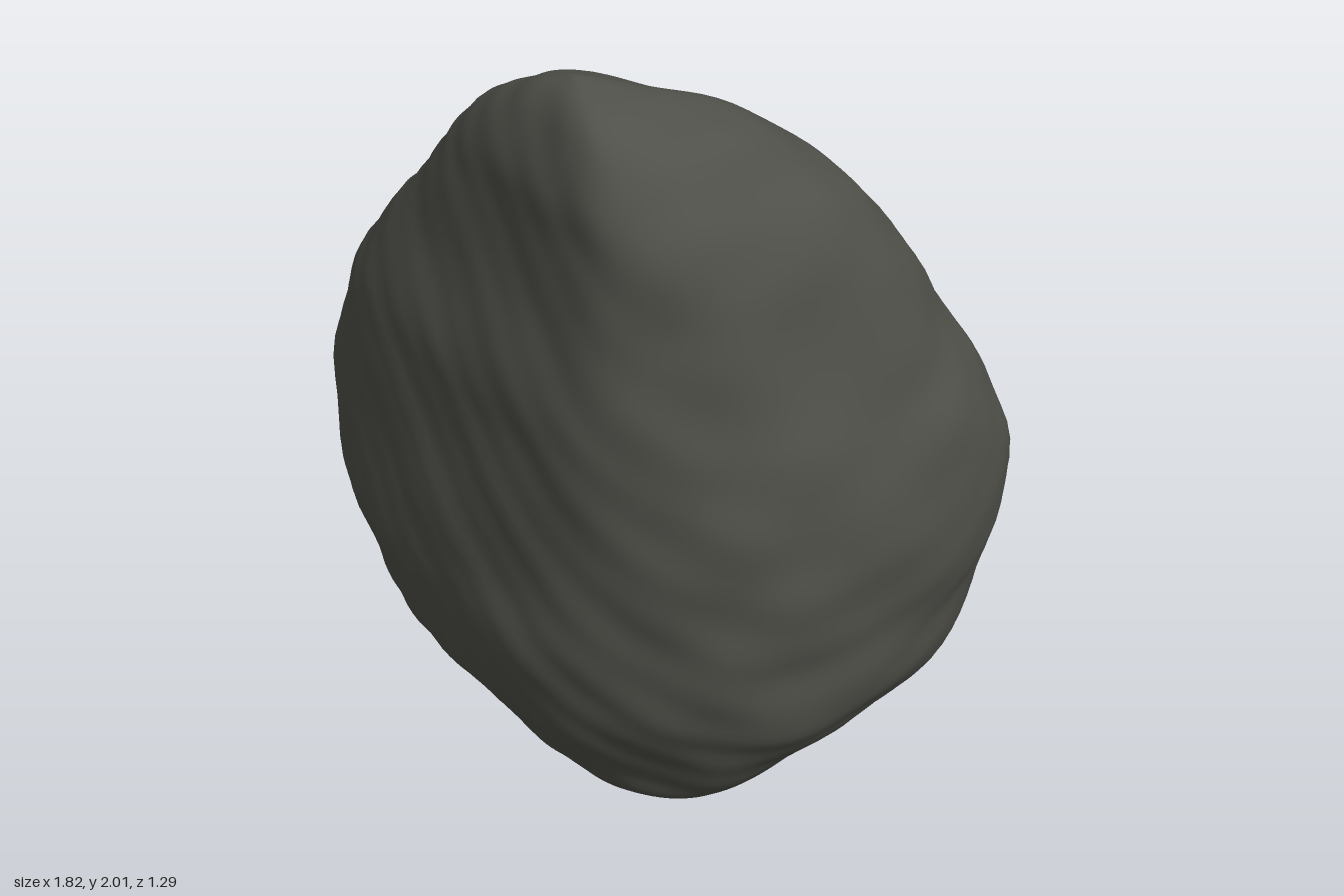
import * as THREE from 'three';
import { mergeVertices } from 'three/addons/utils/BufferGeometryUtils.js';

// Height levels from bottom to top: y, xMin, xMax, zMin, zMax
const LEVELS = [
  [0.0, 0.03, 0.03, 0.11, 0.11],
  [0.025, -0.08, 0.13, 0.0, 0.20],
  [0.06, -0.18, 0.32, -0.09, 0.29],
  [0.12, -0.37, 0.49, -0.24, 0.40],
  [0.20, -0.50, 0.60, -0.37, 0.45],
  [0.33, -0.74, 0.75, -0.51, 0.52],
  [0.45, -0.82, 0.83, -0.58, 0.57],
  [0.60, -0.89, 0.86, -0.63, 0.60],
  [0.75, -0.91, 0.90, -0.64, 0.61],
  [0.95, -0.88, 0.90, -0.59, 0.63],
  [1.15, -0.81, 0.84, -0.48, 0.64],
  [1.30, -0.74, 0.77, -0.39, 0.64],
  [1.50, -0.58, 0.69, -0.26, 0.62],
  [1.68, -0.43, 0.59, -0.11, 0.61],
  [1.80, -0.34, 0.48, -0.01, 0.59],
  [1.91, -0.21, 0.35, 0.14, 0.53],
  [1.97, -0.11, 0.19, 0.25, 0.45],
  [2.0, 0.0, 0.0, 0.35, 0.35],
];

// Rounded triangular cross-sections in unit coordinates (u across x, v along z)
const LOWER = [
  [0, 0.28], [0.05, 0.49], [0.21, 0.74], [0.44, 0.95], [0.61, 1], [0.79, 0.94],
  [0.93, 0.71], [1, 0.43], [0.98, 0.19], [0.89, 0.06], [0.69, 0], [0.45, 0.03],
  [0.17, 0.10], [0.05, 0.19],
];
const UPPER = [
  [0, 0.32], [0.07, 0.51], [0.25, 0.71], [0.45, 0.91], [0.61, 1], [0.79, 0.90],
  [0.92, 0.67], [1, 0.43], [0.98, 0.20], [0.88, 0.06], [0.66, 0], [0.41, 0.01],
  [0.13, 0.07], [0.03, 0.17],
];

// Gentle lumps over the surface
function lumps(x, y, z) {
  return 0.005 * Math.sin(9 * x + 2) * Math.sin(8 * y + 1) * Math.cos(7 * z)
    + 0.006 * Math.sin(17 * x - 5 * z) * Math.sin(15 * y + 4 * x)
    + 0.004 * Math.sin(29 * y + 6 * z) * Math.sin(27 * x + 8 * y + 21 * z);
}

function rockGeometry(rows = 90, cols = 120) {
  const curve = (points, closed) => new THREE.CatmullRomCurve3(points, closed, 'catmullrom', 0.5);
  const ring = (section) => curve(section.map(([u, v]) => new THREE.Vector3(u, 0, v)), true).getPoints(cols);
  const xSpan = curve(LEVELS.map(([y, a, b]) => new THREE.Vector3(a, y, b)), false);
  const zSpan = curve(LEVELS.map(([y, , , a, b]) => new THREE.Vector3(a, y, b)), false);
  const lower = ring(LOWER), upper = ring(UPPER);
  const positions = [], index = [];
  for (let i = 0; i <= rows; i++) {
    const xs = xSpan.getPoint(i / rows), zs = zSpan.getPoint(i / rows);
    const blend = THREE.MathUtils.smoothstep(xs.y, 0.5, 1.5);
    for (let j = 0; j < cols; j++) {
      const unit = lower[j].clone().lerp(upper[j], blend);
      const p = new THREE.Vector3(
        THREE.MathUtils.lerp(xs.x, xs.z, unit.x), xs.y, THREE.MathUtils.lerp(zs.x, zs.z, unit.z));
      // Push outward from the middle of the rock
      const out = new THREE.Vector3(p.x, p.y - 0.85, p.z).normalize();
      p.addScaledVector(out, lumps(p.x, p.y, p.z));
      positions.push(p.x, p.y, p.z);
      if (i === rows) continue;
      const a = i * cols + j, b = i * cols + (j + 1) % cols;
      index.push(a, b, a + cols, b, b + cols, a + cols);
    }
  }
  let geometry = new THREE.BufferGeometry();
  geometry.setAttribute('position', new THREE.Float32BufferAttribute(positions, 3));
  geometry.setIndex(index);
  geometry = mergeVertices(geometry, 1e-5);
  // Centre it and stand it on the ground
  geometry.center();
  geometry.translate(0, 1, 0);
  geometry.computeVertexNormals();
  return geometry;
}

export function createModel() {
  const group = new THREE.Group();
  group.name = 'boulder';
  const stone = new THREE.MeshStandardMaterial({ color: 0x50504a });
  stone.name = 'dark grey stone';
  const rock = new THREE.Mesh(rockGeometry(), stone);
  rock.name = 'rock';
  group.add(rock);
  return group;
}
